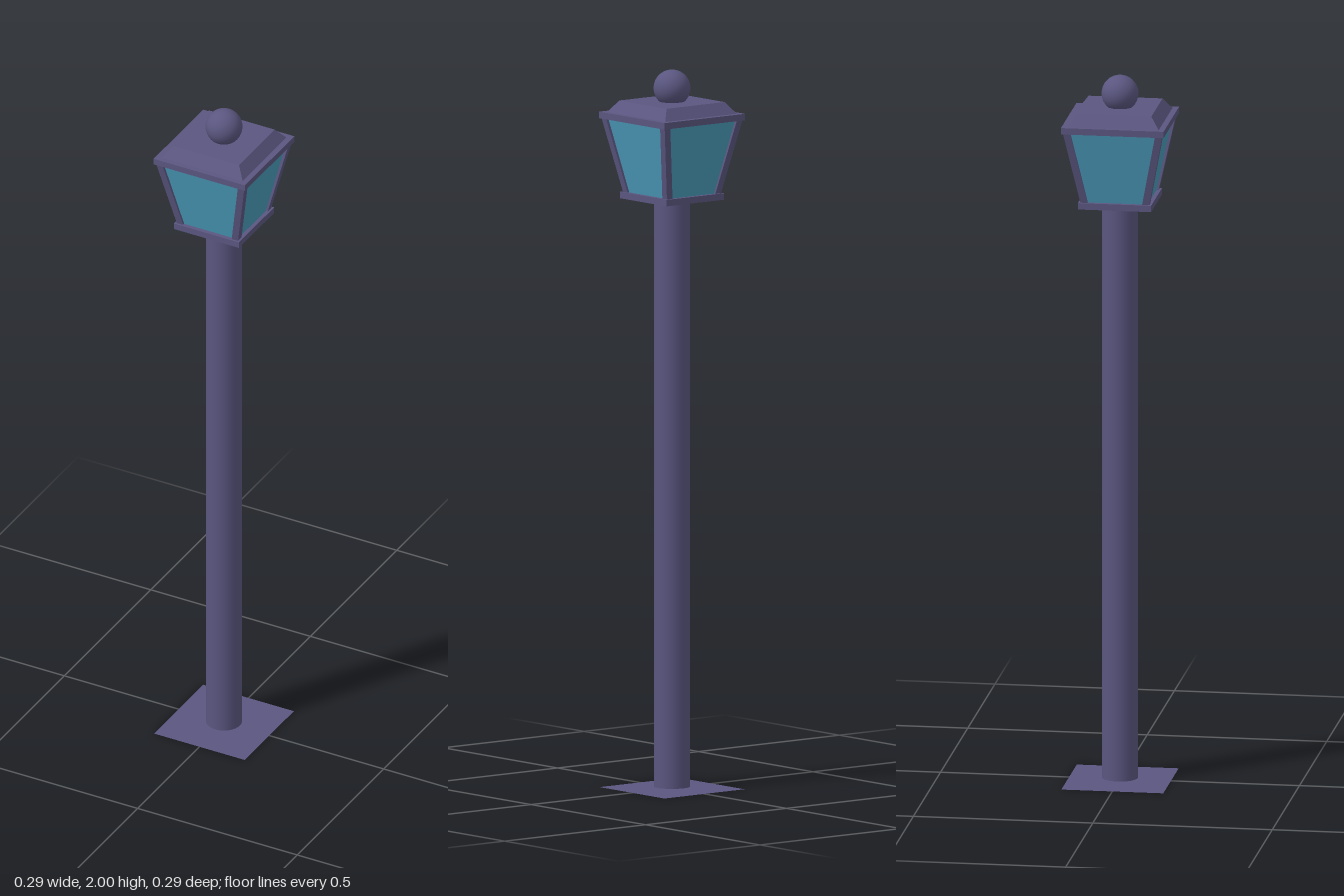
import * as THREE from 'three';

const metal = new THREE.MeshStandardMaterial({ color: 0x5a5680 });
const metalFlat = new THREE.MeshStandardMaterial({ color: 0x5a5680, side: THREE.DoubleSide });
const glass = new THREE.MeshStandardMaterial({ color: 0x4a9ab8 });

// Square block from y0 to y1 whose half width and centre change linearly with height
function taper(y0, y1, half0, half1, c0 = [0, 0], c1 = [0, 0]) {
  const g = new THREE.BoxGeometry(2, 1, 2);
  const p = g.attributes.position;
  for (let i = 0; i < p.count; i++) {
    const up = p.getY(i) > 0;
    const h = up ? half1 : half0;
    const c = up ? c1 : c0;
    p.setXYZ(i, c[0] + p.getX(i) * h, up ? y1 : y0, c[1] + p.getZ(i) * h);
  }
  g.computeVertexNormals();
  return g;
}

export function createModel() {
  const lamp = new THREE.Group();
  lamp.name = 'streetLamp';
  const add = (name, geometry, material = metal, y = 0) => {
    const m = new THREE.Mesh(geometry, material);
    m.name = name;
    m.position.y = y;
    lamp.add(m);
    return m;
  };

  // Thin ground plate and pole
  add('basePlate', new THREE.PlaneGeometry(0.284, 0.284).rotateX(-Math.PI / 2), metalFlat);
  add('pole', new THREE.CylinderGeometry(0.05, 0.05, 1.635, 32), metal, 0.8225);

  // Lantern floor, glass body and rim
  add('lanternFloor', taper(1.64, 1.658, 0.102, 0.102));
  add('lanternGlass', taper(1.658, 1.862, 0.09, 0.13), glass);
  add('lanternRim', taper(1.862, 1.88, 0.143, 0.143));

  // Slanted corner posts
  for (const sx of [-1, 1]) {
    for (const sz of [-1, 1]) {
      const post = taper(1.658, 1.862, 0.01, 0.01, [sx * 0.086, sz * 0.086], [sx * 0.128, sz * 0.128]);
      add('cornerPost', post);
    }
  }

  // Bevelled roof and ball finial
  add('roof', taper(1.88, 1.912, 0.127, 0.103));
  add('finial', new THREE.SphereGeometry(0.051, 32, 20), metal, 1.949);
  return lamp;
}
